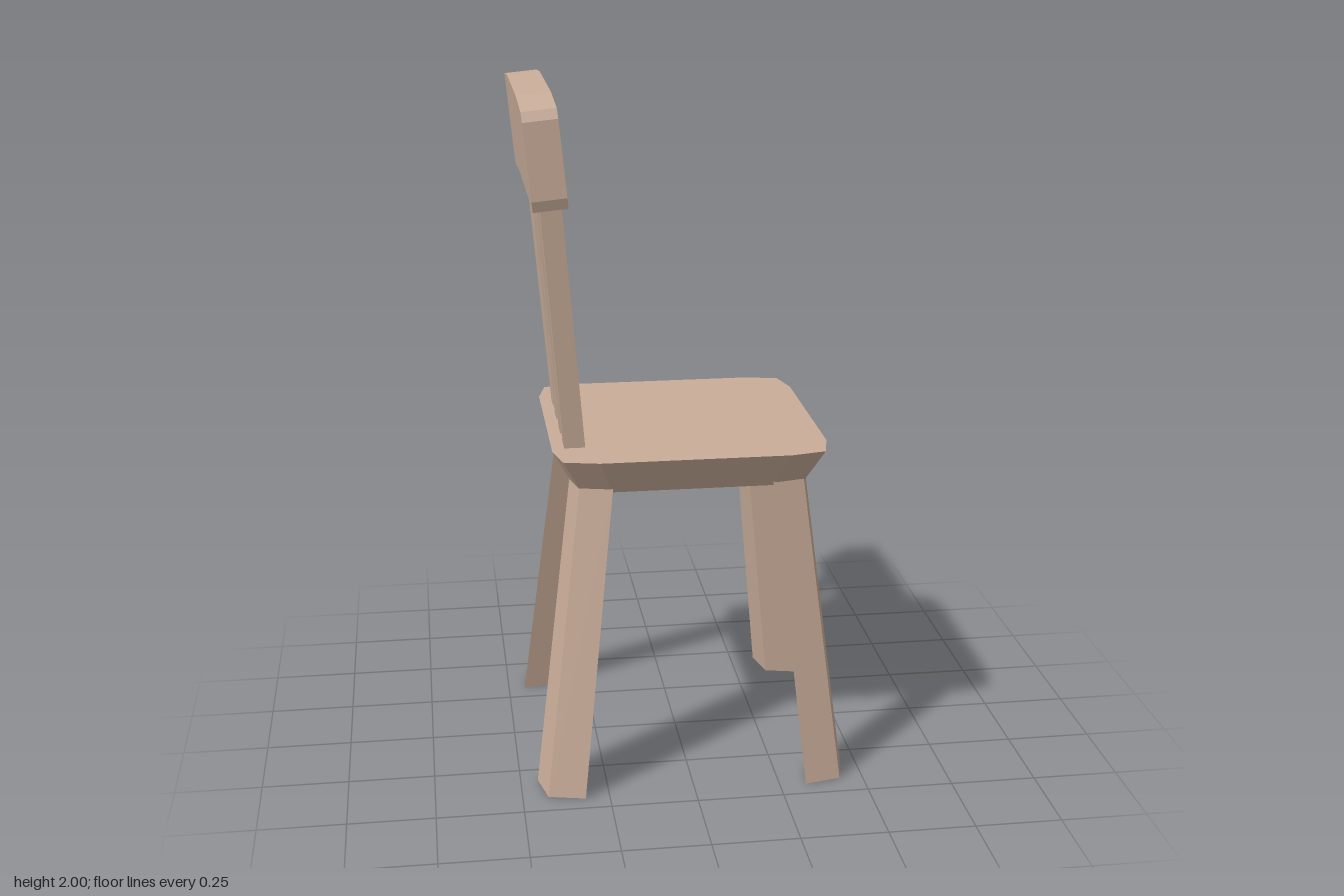
import * as THREE from 'three';
import { ConvexGeometry } from 'three/addons/geometries/ConvexGeometry.js';

export function createModel() {
  const group = new THREE.Group();
  const wood = new THREE.MeshStandardMaterial({ color: 0xc8ac98, flatShading: true });

  const add = (name, geometry) => {
    const mesh = new THREE.Mesh(geometry, wood);
    mesh.name = name;
    group.add(mesh);
    return mesh;
  };

  // Solid between two horizontal outlines of [x, z] points
  const loft = (low, yLow, high, yHigh) => new ConvexGeometry([
    ...low.map(([x, z]) => new THREE.Vector3(x, yLow, z)),
    ...high.map(([x, z]) => new THREE.Vector3(x, yHigh, z)),
  ]);

  // Seat: square with clipped corners, narrowing underneath
  const corner = [[0.27, 0.393], [0.37, 0.37], [0.393, 0.27]];
  const outline = (scale) => [1, -1].flatMap((sx) => [1, -1].flatMap((sz) =>
    corner.map(([x, z]) => [0.008 + sx * x * scale, sz * z * scale])));
  add('seat', loft(outline(0.86), 0.895, outline(1), 1.0));

  // Legs: splayed, tapering, diamond section set on the diagonal
  const section = [[-0.065, 0.065], [0.041, 0.041], [0.065, -0.065], [-0.041, -0.041]];
  for (const sx of [1, -1]) {
    for (const sz of [1, -1]) {
      const ring = (cx, cz, scale) => section.map(([x, z]) =>
        [sx * (cx + x * scale), sz * (cz + z * scale)]);
      const foot = ring(sx > 0 ? 0.391 : 0.385, 0.38, 1);
      const top = ring(sx > 0 ? 0.289 : 0.277, 0.287, 0.87);
      add((sx > 0 ? 'front' : 'back') + (sz > 0 ? 'Left' : 'Right') + 'Leg', loft(foot, 0, top, 0.92));
    }
  }

  // Back spindles: fan outward and lean backward
  const square = (cx, cz) => [[-1, -1], [1, -1], [1, 1], [-1, 1]].map(([x, z]) =>
    [cx + x * 0.03, cz + z * 0.031]);
  for (const [zLow, zHigh] of [[0.212, 0.278], [0.073, 0.092], [-0.071, -0.091], [-0.2, -0.278]]) {
    add('spindle', loft(square(-0.317, zLow), 0.97, square(-0.383, zHigh), 1.76));
  }

  // Top rail: gently arched board, tilted back
  const half = [[0.22, 0.145], [0.4, 0.127], [0.41, 0.1], [0.41, -0.11], [0.4, -0.14], [0.365, -0.145], [0.22, -0.128]];
  const mirrored = half.map(([x, y]) => [-x, y]).reverse();
  const board = new THREE.Shape([...half, ...mirrored].map(([x, y]) => new THREE.Vector2(x, y)));
  const rail = new THREE.ExtrudeGeometry(board, { depth: 0.095, bevelEnabled: false });
  rail.translate(0, 0, -0.0475);
  rail.rotateY(Math.PI / 2);
  rail.rotateZ(0.097);
  rail.translate(-0.399, 1.851, 0);
  add('topRail', rail);

  return group;
}
